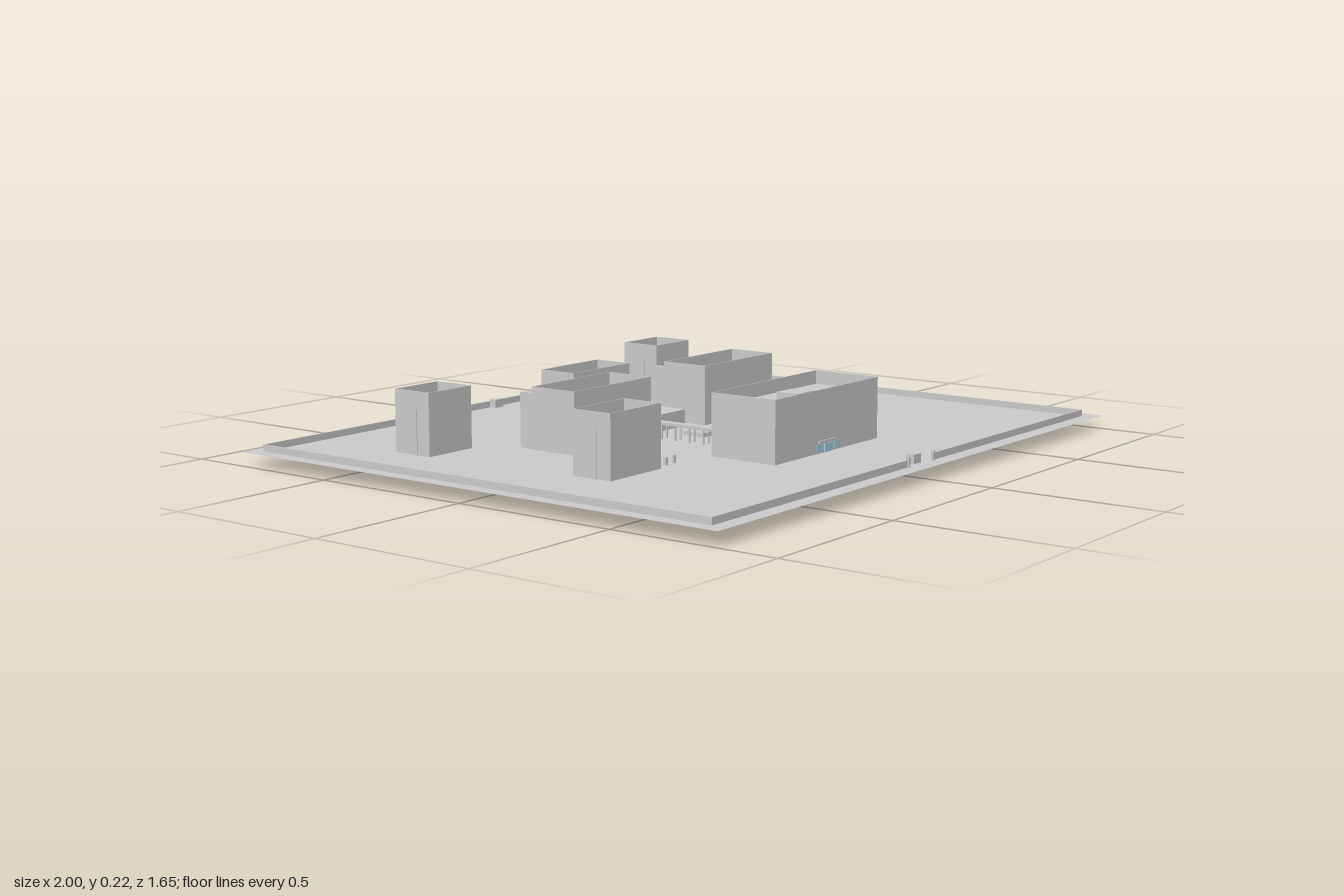
import * as THREE from 'three';

const GROUND = 0.04;
const grey = new THREE.MeshStandardMaterial({ color: 0xcccccc, side: THREE.DoubleSide, flatShading: true });
const glass = new THREE.MeshStandardMaterial({ color: 0xa9cfe0, side: THREE.DoubleSide });

export function createModel() {
  const model = new THREE.Group();

  // Box given by its limits on each axis
  function block(name, x0, x1, y0, y1, z0, z1, parent = model, material = grey) {
    const mesh = new THREE.Mesh(new THREE.BoxGeometry(x1 - x0, y1 - y0, z1 - z0), material);
    mesh.position.set((x0 + x1) / 2, (y0 + y1) / 2, (z0 + z1) / 2);
    mesh.name = name;
    parent.add(mesh);
    return mesh;
  }

  // Flat-roofed building: thin walls rise as a parapet around a sunken roof deck
  function building(name, x0, x1, z0, z1, base = GROUND, top = 0.22, recess = 0.04) {
    const group = new THREE.Group();
    group.name = name;
    const t = 0.003;
    block('frontWall', x0, x1, base, top, z1 - t, z1, group);
    block('backWall', x0, x1, base, top, z0, z0 + t, group);
    block('rightWall', x0, x0 + t, base, top, z0 + t, z1 - t, group);
    block('leftWall', x1 - t, x1, base, top, z0 + t, z1 - t, group);
    block('roofDeck', x0 + t, x1 - t, top - recess - t, top - recess, z0 + t, z1 - t, group);
    model.add(group);
    return group;
  }

  // Ground sheet
  const ground = new THREE.Mesh(new THREE.PlaneGeometry(2, 1.655), grey);
  ground.rotation.x = -Math.PI / 2;
  ground.position.y = GROUND;
  ground.name = 'ground';
  model.add(ground);

  // Perimeter wall with a gate gap in the front
  const wallTop = 0.06, w = 0.004;
  block('backPerimeterWall', -0.955, 0.955, GROUND, wallTop, -0.787, -0.787 + w);
  for (const s of [-1, 1]) {
    block('sidePerimeterWall', s * 0.955 - w / 2, s * 0.955 + w / 2, GROUND, wallTop, -0.787, 0.78);
    const a = s * 0.065, b = s * 0.955;
    block('frontPerimeterWall', Math.min(a, b), Math.max(a, b), GROUND, wallTop, 0.78 - w, 0.78);
    block('gatePost', a - 0.004, a + 0.004, GROUND, 0.068, 0.776, 0.784);
  }
  block('gatehouse', -0.02, 0.018, GROUND, 0.066, 0.745, 0.77);
  block('rearGatehouse', -0.02, 0.018, GROUND, 0.066, -0.784, -0.76);

  // Main building, reaching below ground, with roof equipment
  const main = building('mainBuilding', -0.26, 0.258, 0.262, 0.477, 0);
  block('basementFloor', -0.26, 0.258, 0, 0.003, 0.262, 0.477, main);
  block('roofHouse', -0.042, 0.038, 0.18, 0.2, 0.33, 0.4, main);
  for (const x of [-0.193, 0.182]) {
    block('roofVent', x - 0.017, x + 0.017, 0.18, 0.205, 0.424, 0.456, main);
  }
  block('entranceDoor', -0.02, 0.018, GROUND, 0.065, 0.477, 0.48, main, glass);
  for (const s of [-1, 1]) {
    block('entranceWindow', s * 0.045 - 0.015, s * 0.045 + 0.015, 0.045, 0.065, 0.477, 0.479, main, glass);
  }
  block('entranceCanopy', -0.05, 0.04, 0.068, 0.075, 0.477, 0.481, main);

  // Two long wings with rear doors and stair towers
  for (const [x0, x1] of [[-0.48, -0.135], [0.128, 0.476]]) {
    const wing = building('longWing', x0, x1, -0.203, -0.048);
    const mid = (x0 + x1) / 2;
    for (const s of [-1, 1]) {
      const d = mid + s * 0.079, t = mid + s * 0.156;
      block('rearDoor', d - 0.009, d + 0.009, 0.022, 0.17, -0.224, -0.2, wing);
      block('stairTower', t - 0.013, t + 0.013, GROUND, 0.2, -0.25, -0.203, wing);
    }
  }

  // Small blocks, each with a side entrance and a footing
  const blocks = [
    ['centreBlock', -0.22, 0.04, -0.393, -0.268, -0.165, -0.376],
    ['rearLeftBlock', 0.39, 0.56, -0.568, -0.437, 0.445, -0.553],
    ['rearRightBlock', -0.738, -0.567, -0.483, -0.354, -0.684, -0.466],
    ['frontRightBlock', -0.697, -0.482, 0.13, 0.258, -0.643, 0.143],
  ];
  for (const [name, x0, x1, z0, z1, fx, fz] of blocks) {
    const group = building(name, x0, x1, z0, z1);
    const mz = (z0 + z1) / 2;
    block('sideEntrance', x0 - 0.002, x0, GROUND, 0.17, mz - 0.018, mz + 0.018, group);
    block('footing', fx - 0.009, fx + 0.009, 0.022, GROUND, fz - 0.01, fz + 0.01, group);
  }

  // Low link building and steps between the wings
  block('linkHall', -0.133, 0.086, GROUND, 0.09, -0.18, -0.092);
  block('linkStepUpper', -0.133, 0.086, GROUND, 0.075, -0.205, -0.18);
  block('linkStepLower', -0.133, 0.086, GROUND, 0.058, -0.222, -0.205);

  // Covered walkway to the main building, and a garden wall
  block('walkwayRoof', -0.135, -0.107, 0.082, 0.09, -0.092, 0.262);
  for (let i = 0; i < 7; i++) {
    const z = -0.06 + i * 0.05;
    for (const x of [-0.133, -0.109]) block('walkwayPost', x - 0.002, x + 0.002, GROUND, 0.082, z - 0.002, z + 0.002);
  }
  block('gardenWall', 0.254, 0.258, GROUND, 0.075, 0.112, 0.262);
  block('connectingBridge', 0.04, 0.155, 0.065, 0.09, -0.332, -0.312);
  block('courtyardPlinth', -0.038, 0.032, GROUND, 0.052, -0.07 + 0.065, 0.07);

  // Rear yard: flagpole on its base and two sheds
  block('flagpoleBase', 0.17, 0.257, GROUND, 0.07, -0.664, -0.594);
  const pole = new THREE.Mesh(new THREE.CylinderGeometry(0.003, 0.003, 0.08, 8), grey);
  pole.position.set(0.215, 0.11, -0.63);
  pole.name = 'flagpole';
  model.add(pole);
  block('largeShed', 0.346, 0.412, GROUND, 0.083, -0.655, -0.614);
  block('smallShed', 0.433, 0.482, GROUND, 0.07, -0.628, -0.595);

  // Short posts beside the front right block
  for (const x of [-0.433, -0.397]) {
    for (const z of [0.152, 0.236]) block('bollard', x - 0.004, x + 0.004, GROUND, 0.062, z - 0.004, z + 0.004);
  }

  return model;
}
